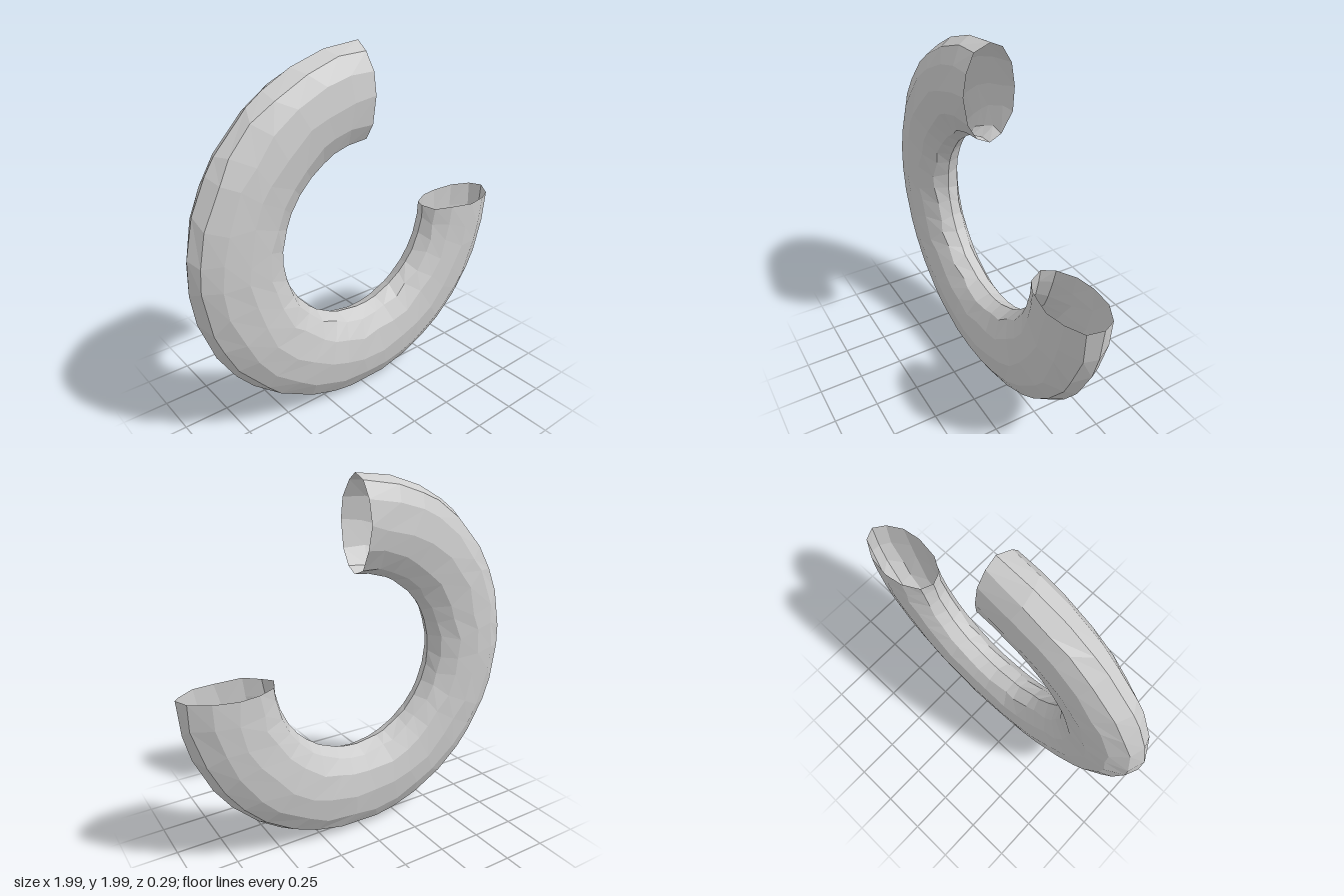
import * as THREE from 'three';

const SIDES = 12, STEPS = 26;
const RING = 0.743, HALF_WIDTH = 0.254, HALF_DEPTH = 0.145;

// Repeatable value in -1..1 for a pair of grid indices
function wobble(i, j, seed) {
  const s = Math.sin(i * 12.9898 + j * 78.233 + seed * 37.719) * 43758.5453;
  return (s - Math.floor(s)) * 2 - 1;
}

export function createModel() {
  const group = new THREE.Group();
  group.name = 'openRing';

  // Three quarters of a ring with an oval section, open at both ends
  const geometry = new THREE.TorusGeometry(RING, HALF_WIDTH, SIDES, STEPS, Math.PI * 1.5);
  const pos = geometry.attributes.position;
  const uv = geometry.attributes.uv;
  for (let k = 0; k < pos.count; k++) {
    const i = Math.round(uv.getX(k) * STEPS);
    const j = Math.round(uv.getY(k) * SIDES) % SIDES;
    const atEnd = i === 0 || i === STEPS;
    // Slide vertices along the surface for uneven, hand-cut facets
    const u = Math.PI / 2 + (i + wobble(i, j, 1) * (atEnd ? 0.06 : 0.26)) / STEPS * Math.PI * 1.5;
    const ridge = j % (SIDES / 2) === 0 ? 0.04 : 0.12;
    const v = (j + wobble(i, j, 2) * ridge) / SIDES * Math.PI * 2;
    const r = RING + HALF_WIDTH * Math.cos(v);
    pos.setXYZ(k, r * Math.cos(u), 1 + r * Math.sin(u), HALF_DEPTH * Math.sin(v));
  }
  geometry.computeVertexNormals();

  const tube = new THREE.Mesh(geometry, new THREE.MeshStandardMaterial({
    color: 0xcccccc, flatShading: true, side: THREE.DoubleSide,
  }));
  tube.name = 'curvedTube';
  group.add(tube);
  return group;
}
